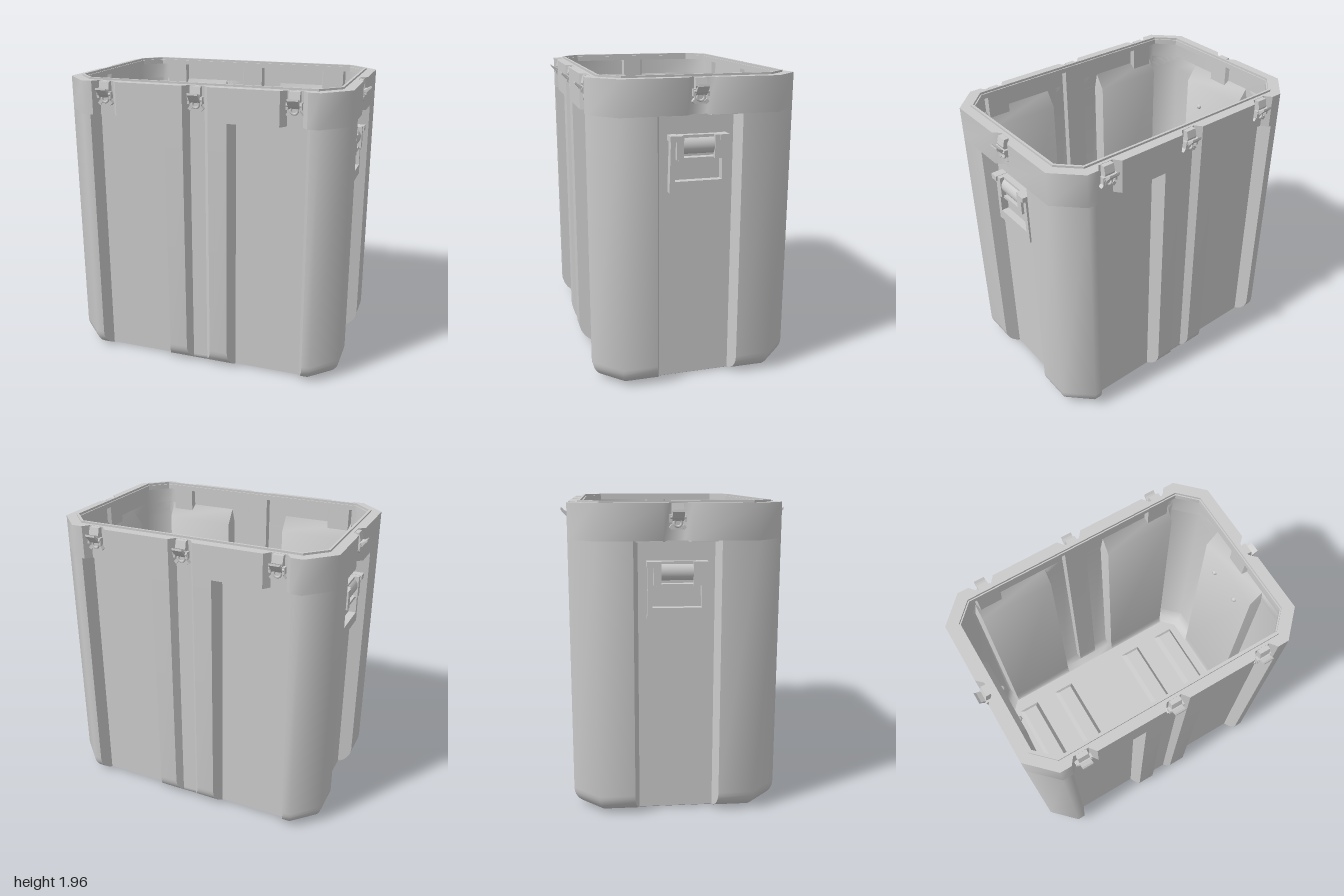
import * as THREE from 'three';
import { toCreasedNormals } from 'three/addons/utils/BufferGeometryUtils.js';

const X = 0.955, Z = 0.655, CX = 0.79, CZ = 0.49;   // half sizes and chamfer corners
const TOP = 1.95, LEDGE = 1.73, R = 0.125, WALL = 0.05;
const material = new THREE.MeshStandardMaterial({ color: 0xcccccc, side: THREE.DoubleSide });

// Channels in a wall: [centre, half width at the surface, half width at the floor, depth]
const groove = [0, 0.085, 0.05, 0.045];
const sideNotch = [0, 0.088, 0.045, 0.042];
const recess = [0.4725, 0.2625, 0.2275, 0.085];
const sideRecess = [0, 0.265, 0.235, 0.09];
const at = (f, c) => [c, f[1], f[2], f[3]];
const lower = { long: [at(recess, -0.4725), groove, recess], short: [sideRecess] };
const upper = { long: [at(groove, -0.63), groove, at(groove, 0.63)], short: [sideNotch] };
const plain = { long: [], short: [] };
const grow = (spec, fn) => ({ long: spec.long.map(fn), short: spec.short.map(fn) });
const thicken = (f) => [f[0], f[1] + 0.025, f[2] + 0.025, f[3] + 0.033];

// Chamfered outline at height y, moved inward by e, with channels cut into its walls
function ring(y, e, spec) {
  const points = [];
  for (let s = 0; s < 4; s++) {
    const [H, C, features] = s % 2 ? [X, CZ, spec.short] : [Z, CX, spec.long];
    const c = C - e * 0.414;
    const line = [[-c, H - e]];
    for (const [m, wo, wi, d] of features) {
      const w = wo + (wi - wo) * Math.min(e / d, 1), floor = H - Math.max(d, e);
      line.push([m - w, H - e], [m - wi, floor], [m + wi, floor], [m + w, H - e]);
    }
    line.push([c, H - e]);
    for (const [u, v] of line) {
      points.push([new THREE.Vector3(u, y, v), new THREE.Vector3(v, y, -u),
        new THREE.Vector3(-u, y, -v), new THREE.Vector3(-v, y, u)][s]);
    }
  }
  return points;
}

// Skin through closed rings of equal length
function loft(rings) {
  const n = rings[0].length, index = [];
  for (let i = 0; i < rings.length - 1; i++) {
    for (let j = 0; j < n; j++) {
      const a = i * n + j, b = i * n + (j + 1) % n;
      index.push(a, b, b + n, a, b + n, a + n);
    }
  }
  const g = new THREE.BufferGeometry().setFromPoints(rings.flat());
  g.setIndex(index);
  return toCreasedNormals(g, 0.85);
}

const flat = (points) => points.map((p) => new THREE.Vector2(p.x, p.z));
const rect = (cx, w, h) => [[-w, -h], [w, -h], [w, h], [-w, h]].map(([x, y]) => new THREE.Vector2(cx + x, y));

// Horizontal sheet at height y with holes, outline given in x and z
function plate(y, outline, holes = []) {
  const shape = new THREE.Shape(outline);
  shape.holes = holes.map((h) => new THREE.Path(h));
  return new THREE.ShapeGeometry(shape).rotateX(Math.PI / 2).translate(0, y, 0);
}

// Chamfered hoop between two insets and two heights
function hoop(y0, y1, e0, e1) {
  const shape = new THREE.Shape(flat(ring(0, e0, plain)));
  shape.holes = [new THREE.Path(flat(ring(0, e1, plain)))];
  return new THREE.ExtrudeGeometry(shape, { depth: y1 - y0, bevelEnabled: false })
    .rotateX(Math.PI / 2).translate(0, y1, 0);
}

// Profile drawn as [outward, y], extruded across width w
function profile(points, w) {
  const shape = new THREE.Shape(points.map(([v, y]) => new THREE.Vector2(-v, y)));
  return new THREE.ExtrudeGeometry(shape, { depth: w, bevelEnabled: false })
    .translate(0, 0, -w / 2).rotateY(Math.PI / 2);
}

function add(group, name, geometry, x = 0, y = 0, z = 0) {
  const mesh = new THREE.Mesh(geometry, material);
  mesh.name = name;
  mesh.position.set(x, y, z);
  group.add(mesh);
  return mesh;
}

function box(group, name, w, h, d, x, y, z) {
  return add(group, name, new THREE.BoxGeometry(w, h, d), x, y, z);
}

// Latch on its notch floor, facing +z
function latch() {
  const g = new THREE.Group();
  g.name = 'latch';
  add(g, 'latchClasp', profile([[0, 1.948], [0.03, 1.948], [0.042, 1.9], [0.03, 1.87], [0, 1.87]], 0.07));
  add(g, 'latchHook', profile([[0.03, 1.845], [0.055, 1.865], [0.087, 1.9], [0.085, 1.913],
    [0.072, 1.9], [0.045, 1.885], [0.03, 1.885]], 0.07));
  box(g, 'latchPlate', 0.066, 0.08, 0.022, 0, 1.835, 0.011);
  add(g, 'latchRing', new THREE.TorusGeometry(0.022, 0.008, 8, 20), 0, 1.835, 0.026);
  add(g, 'latchPin', new THREE.CylinderGeometry(0.01, 0.01, 0.095, 12).rotateZ(Math.PI / 2), 0, 1.868, 0.04);
  for (const s of [-1, 1]) {
    box(g, 'latchLug', 0.015, 0.045, 0.03, s * 0.043, 1.862, 0.03);
    box(g, 'latchFoot', 0.022, 0.024, 0.03, s * 0.037, 1.81, 0.015).rotation.z = s * 0.7;
  }
  return g;
}

// Drop handle on the side recess floor, facing +z
function handle() {
  const g = new THREE.Group();
  g.name = 'handle';
  const shape = new THREE.Shape([[-0.183, 1.255], [0.183, 1.255], [0.175, 1.575], [0.1, 1.575], [0.1, 1.47],
    [-0.1, 1.47], [-0.1, 1.575], [-0.175, 1.575]].map((p) => new THREE.Vector2(...p)));
  shape.holes = [new THREE.Path([[-0.15, 1.325], [-0.145, 1.55], [-0.125, 1.55], [-0.125, 1.45],
    [0.125, 1.45], [0.125, 1.55], [0.145, 1.55], [0.15, 1.325]].map((p) => new THREE.Vector2(...p)))];
  add(g, 'handleFrame', new THREE.ExtrudeGeometry(shape, { depth: 0.05, bevelEnabled: false }), 0, 0, 0.005);
  add(g, 'handleBarrel', new THREE.CylinderGeometry(0.06, 0.06, 0.2, 24, 1, false, -Math.PI / 2, Math.PI)
    .rotateZ(Math.PI / 2).rotateX(0), 0, 1.54, 0.005);
  box(g, 'handleMount', 0.2, 0.125, 0.04, 0, 1.543, 0.02);
  for (const s of [-1, 1]) {
    box(g, 'handleBracket', 0.045, 0.145, 0.07, s * 0.12, 1.533, 0.035);
    box(g, 'handleLug', 0.055, 0.035, 0.08, s * 0.157, 1.59, 0.04);
    add(g, 'handleBolt', new THREE.SphereGeometry(0.018, 12, 8), s * 0.12, 1.53, -0.035);
  }
  return g;
}

export function createModel() {
  const model = new THREE.Group();
  model.name = 'case';

  // Outer shell: rolled bottom edge, recessed walls, notched collar
  const rings = [];
  for (let i = 0; i <= 8; i++) {
    const a = (i / 8) * Math.PI / 2;
    rings.push(ring(R * (1 - Math.cos(a)), R * (1 - Math.sin(a)), lower));
  }
  add(model, 'outerWall', loft([...rings, ring(LEDGE, 0, lower)]));
  add(model, 'collar', loft([ring(LEDGE, 0, upper), ring(TOP, 0, upper)]));

  // Inner shell, with sloped tops over the recess bulges
  const inner = grow(lower, thicken);
  const innerTop = grow(inner, (f) => (f[1] > 0.2 ? [f[0], f[1], f[2], WALL] : f));
  add(model, 'innerWall', loft([ring(1.8, WALL, innerTop), ring(1.7, WALL, inner),
    ring(0.12, WALL, inner), ring(0.05, 0.08, inner), ring(0.02, 0.13, inner)]));
  const innerUpper = grow(upper, thicken);
  add(model, 'innerCollar', loft([ring(TOP, WALL, innerUpper), ring(1.72, WALL, innerUpper)]));

  // Bottom and floor, pierced by four raised channels
  const xs = [-0.68, -0.34, 0.34, 0.68], h = 0.08;
  const channel = (y) => rect(0, 0.095 - 0.04 * y / h, 0.435 - 0.05 * y / h);
  const holes = (y) => xs.map((x) => channel(y).map((p) => new THREE.Vector2(p.x + x, p.y)));
  add(model, 'bottom', plate(0, flat(ring(0, R, plain)), holes(0)));
  add(model, 'floor', plate(0.02, flat(ring(0, 0.13, plain)), holes(0.02)));
  for (const x of xs) {
    const level = (y) => channel(y).reverse().map((p) => new THREE.Vector3(p.x, y, p.y));
    add(model, 'floorRib', loft([level(0), level(h)]), x);
    add(model, 'floorRibTop', plate(h, channel(h)), x);
  }

  // Rim and seal lip
  add(model, 'rim', plate(TOP, flat(ring(0, 0, upper)), [flat(ring(0, 0.07, plain))]));
  add(model, 'rimUnderside', hoop(1.915, TOP - 0.002, 0.05, 0.088));
  add(model, 'sealLip', hoop(1.93, 1.963, 0.065, 0.08));

  // Ledges, latches and handles on each wall
  for (let s = 0; s < 4; s++) {
    const wall = new THREE.Group();
    wall.name = ['frontFittings', 'leftFittings', 'backFittings', 'rightFittings'][s];
    wall.rotation.y = s * Math.PI / 2;
    model.add(wall);
    const short = s % 2 === 1, H = short ? X : Z;
    const notches = short ? upper.short : upper.long;
    for (const f of notches) {
      const l = latch();
      l.position.set(f[0], 0, H - f[3]);
      wall.add(l);
    }
    const trapezoid = ([c, wo, wi, d]) => [[c - wo, H], [c - wi, H - d], [c + wi, H - d], [c + wo, H]];
    for (const f of (short ? lower.short : lower.long).filter((r) => r[1] > 0.2)) {
      const n = notches.find((k) => Math.sign(k[0]) === Math.sign(f[0]));
      const outline = [...trapezoid(f), ...trapezoid(n).reverse()].map((p) => new THREE.Vector2(...p));
      add(wall, 'recessLedge', plate(LEDGE, outline));
    }
    if (short) {
      const grip = handle();
      grip.position.z = X - sideRecess[3];
      wall.add(grip);
    }
  }
  return model;
}
